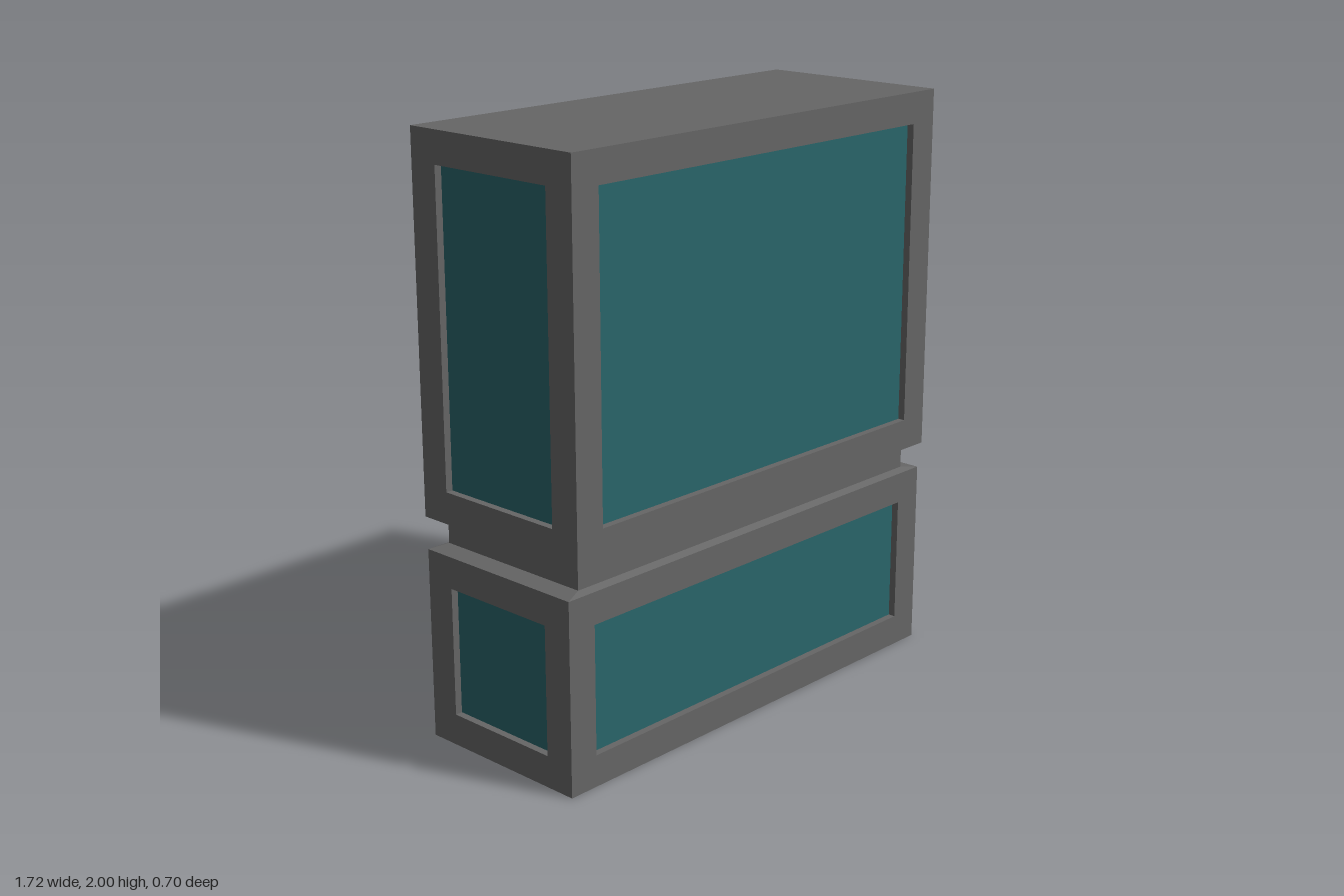
import * as THREE from 'three';

const frameMaterial = new THREE.MeshStandardMaterial({ color: 0x666666 });
const panelMaterial = new THREE.MeshStandardMaterial({ color: 0x29656a });
const BORDER = 0.107, RECESS = 0.025;

// Counter-clockwise rectangles: upright (facing +z) and level (facing +y)
const upright = (w, h, z) => [[-w, -h, z], [w, -h, z], [w, h, z], [-w, h, z]];
const level = (w, d, y) => [[-w, y, d], [w, y, d], [w, y, -d], [-w, y, -d]];

// Flat-shaded mesh from a list of four-cornered faces
function quadMesh(name, quads, material) {
  const points = quads.flatMap(([a, b, c, d]) => [a, b, c, a, c, d]).flat();
  const geometry = new THREE.BufferGeometry();
  geometry.setAttribute('position', new THREE.Float32BufferAttribute(points, 3));
  geometry.computeVertexNormals();
  const mesh = new THREE.Mesh(geometry, material);
  mesh.name = name;
  return mesh;
}

// Band of faces joining each ring to the next
function bands(...rings) {
  const quads = [];
  for (let r = 0; r + 1 < rings.length; r++) {
    const a = rings[r], b = rings[r + 1];
    for (let i = 0; i < 4; i++) {
      const j = (i + 1) % 4;
      quads.push([a[i], a[j], b[j], b[i]]);
    }
  }
  return quads;
}

// One framed side with a recessed panel
function framedSide(name, w, h, z) {
  const side = new THREE.Group();
  side.name = name;
  const iw = w - BORDER, ih = h - BORDER;
  side.add(
    quadMesh('frame', bands(upright(w, h, z), upright(iw, ih, z), upright(iw, ih, z - RECESS)), frameMaterial),
    quadMesh('panel', [upright(iw, ih, z - RECESS)], panelMaterial)
  );
  return side;
}

// Four framed sides around a box section
function section(name, w, d, y0, y1) {
  const group = new THREE.Group();
  group.name = name;
  ['front', 'left', 'back', 'right'].forEach((label, i) => {
    const side = i % 2 ? framedSide(label + 'Side', d, (y1 - y0) / 2, w)
      : framedSide(label + 'Side', w, (y1 - y0) / 2, d);
    side.rotation.y = i * Math.PI / 2;
    side.position.y = (y0 + y1) / 2;
    group.add(side);
  });
  return group;
}

export function createModel() {
  const model = new THREE.Group();
  model.name = 'displaySign';

  // Lower plinth and upper display box
  const plinth = section('plinth', 0.86, 0.322, 0, 0.65);
  plinth.add(quadMesh('underside', [level(0.86, 0.322, 0).reverse()], frameMaterial));
  const display = section('displayBox', 0.845, 0.348, 0.75, 2);
  display.add(quadMesh('roof', [level(0.845, 0.348, 2)], frameMaterial));

  // Sloped shoulder, narrow neck and the underside of the display box
  const neck = quadMesh('neck', bands(
    level(0.86, 0.322, 0.65),
    level(0.795, 0.296, 0.66),
    level(0.795, 0.296, 0.75),
    level(0.845, 0.348, 0.75)
  ), frameMaterial);

  model.add(plinth, neck, display);
  return model;
}
